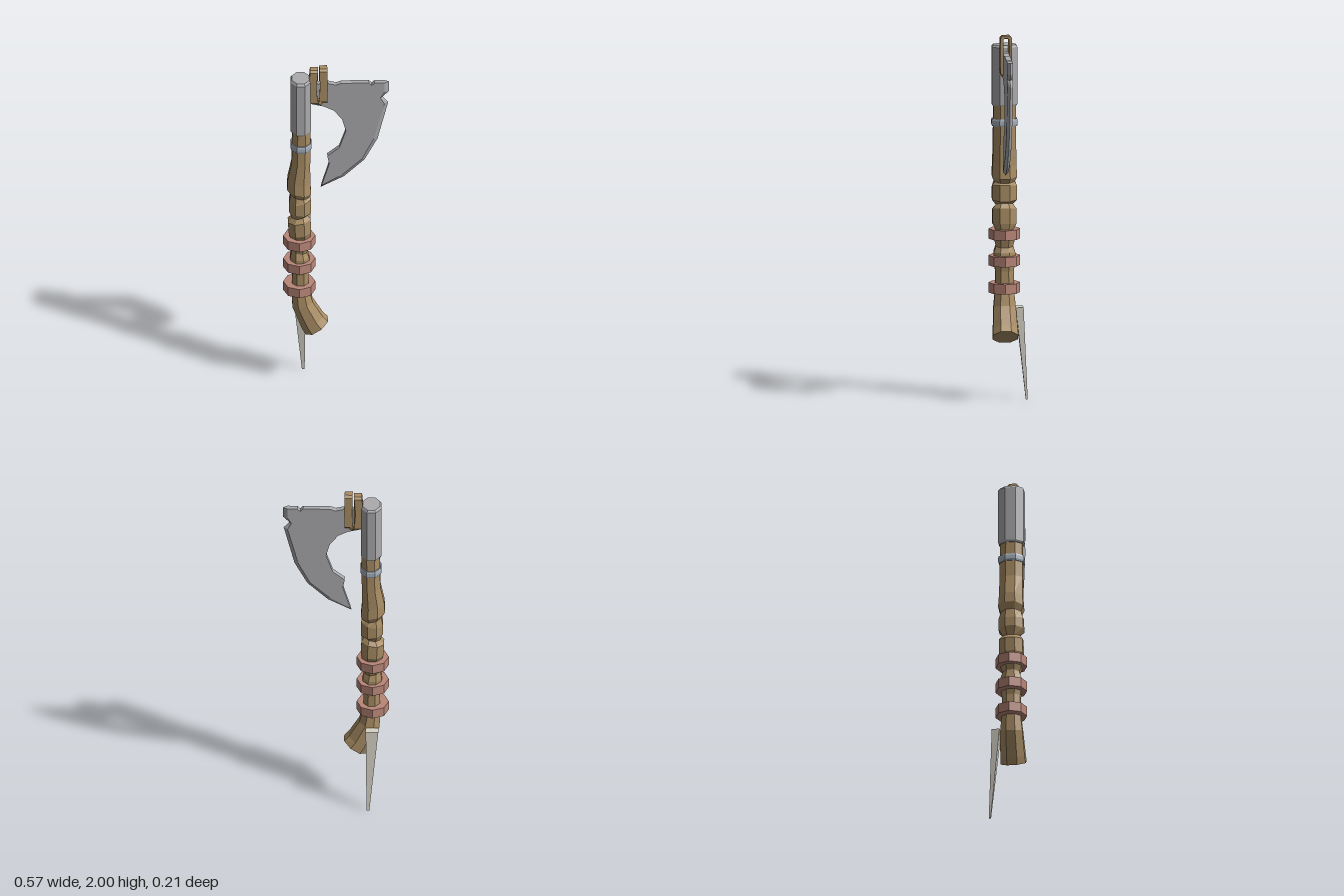
import * as THREE from 'three';

const mat = (name, color, extra = {}) =>
  Object.assign(new THREE.MeshStandardMaterial({ color, flatShading: true, ...extra }), { name });

const CZ = 0.018; // depth of the weapon's middle plane

function geometryFrom(points, index) {
  const g = new THREE.BufferGeometry();
  g.setAttribute('position', new THREE.Float32BufferAttribute(points.flat(), 3));
  g.setIndex(index);
  const flat = g.toNonIndexed();
  flat.computeVertexNormals();
  return flat;
}

// Closed solid through stacked sections, bottom to top.
// Section: [y, left x, right x, half depth, tilt of y across x, centre z]
function loft(sections, sides = 8, cornersOnAxes = false) {
  const pts = [], idx = [];
  const turn = cornersOnAxes ? 0 : Math.PI / sides;
  const grow = cornersOnAxes ? 1 : 1 / Math.cos(Math.PI / sides);
  sections.forEach(([y, l, r, hz, tilt = 0, cz = CZ]) => {
    for (let i = 0; i < sides; i++) {
      const a = turn + (i / sides) * Math.PI * 2;
      const c = Math.cos(a) * grow, s = Math.sin(a) * grow;
      pts.push([(l + r) / 2 + c * (r - l) / 2, y + tilt * c, cz + s * hz]);
    }
  });
  const last = (sections.length - 1) * sides;
  for (let k = 0; k < last; k += sides) {
    for (let i = 0; i < sides; i++) {
      const a = k + i, b = k + (i + 1) % sides;
      idx.push(a, a + sides, b, b, a + sides, b + sides);
    }
  }
  for (let i = 1; i < sides - 1; i++) {
    idx.push(0, i, i + 1, last, last + i + 1, last + i);
  }
  return geometryFrom(pts, idx);
}

// Blade plate: each point is [x, y, inset x, inset y]; inset points form the flat cheeks
function bladeGeometry(outline, half) {
  const n = outline.length, pts = [], idx = [];
  const cheek = outline.map(([x, y, ix = x, iy = y]) => new THREE.Vector2(ix, iy));
  cheek.forEach(p => pts.push([p.x, p.y, CZ + half]));
  outline.forEach(([x, y]) => pts.push([x, y, CZ]));
  cheek.forEach(p => pts.push([p.x, p.y, CZ - half]));
  for (const [a, b, c] of THREE.ShapeUtils.triangulateShape(cheek, [])) {
    idx.push(a, b, c, c + 2 * n, b + 2 * n, a + 2 * n);
  }
  for (let k = 0; k < 2 * n; k += n) {
    for (let i = 0; i < n; i++) {
      const a = k + i, b = k + (i + 1) % n;
      idx.push(a, a + n, b, b, a + n, b + n);
    }
  }
  return geometryFrom(pts, idx);
}

// Tall hollow loop in the z-y plane, extruded along x and bent by a rule
function strapGeometry(x0, width, top, bottom, bend) {
  const h = (top - bottom) / 2, mid = (top + bottom) / 2;
  const ring = (w, hh, c) => [
    [-w, -hh + c], [-w + c, -hh], [w - c, -hh], [w, -hh + c],
    [w, 0], [w, hh - c], [w - c, hh], [-w + c, hh], [-w, hh - c], [-w, 0],
  ].map(p => new THREE.Vector2(...p));
  const shape = new THREE.Shape(ring(0.03, h, 0.012));
  shape.holes.push(new THREE.Path(ring(0.016, h - 0.014, 0.006)));
  const g = new THREE.ExtrudeGeometry(shape, { depth: width, bevelEnabled: false });
  g.rotateY(Math.PI / 2);
  g.translate(x0, mid, CZ);
  const p = g.attributes.position;
  for (let i = 0; i < p.count; i++) {
    const t = Math.abs(p.getY(i) - mid) / h;
    p.setX(i, p.getX(i) + bend * t);
  }
  g.computeVertexNormals();
  return g;
}

export function createModel() {
  const wood = mat('wood', 0xa98d64);
  const steel = mat('steel', 0xababae, { side: THREE.DoubleSide });
  const band = mat('blue grey metal', 0xa6b0bd);
  const leather = mat('red leather', 0xb98678);
  const bone = mat('bone', 0xd6d3c6);

  const model = new THREE.Group();
  model.name = 'axe';
  const add = (name, geometry, material) => {
    const mesh = new THREE.Mesh(geometry, material);
    mesh.name = name;
    model.add(mesh);
  };

  // Gnarled haft with carved grooves and a slanted, flared foot
  add('haft', loft([
    [0.35, -0.165, -0.045, 0.068, 0.04],
    [0.385, -0.185, -0.072, 0.066, 0.036],
    [0.5, -0.236, -0.127, 0.06, 0.015],
    [0.6, -0.238, -0.148, 0.05],
    [0.7, -0.236, -0.15, 0.05],
    [0.76, -0.247, -0.142, 0.058],
    [0.8, -0.247, -0.146, 0.058],
    [0.835, -0.24, -0.158, 0.046, -0.008],
    [0.87, -0.25, -0.147, 0.056],
    [0.93, -0.248, -0.14, 0.05],
    [0.955, -0.255, -0.135, 0.064, 0.006],
    [1.035, -0.26, -0.138, 0.064, 0.01],
    [1.06, -0.238, -0.155, 0.046, 0.01],
    [1.09, -0.254, -0.137, 0.067, -0.008],
    [1.16, -0.254, -0.137, 0.066, 0.012],
    [1.19, -0.245, -0.15, 0.055, -0.01],
    [1.22, -0.264, -0.135, 0.068, -0.015],
    [1.28, -0.262, -0.14, 0.064, -0.01],
    [1.4, -0.24, -0.14, 0.062],
    [1.61, -0.236, -0.138, 0.06],
  ]), wood);

  // Leather grip rings
  [0.607, 0.755, 0.9].forEach((y, i) => add(`gripRing${i + 1}`,
    loft([[y - 0.027, -0.285, -0.112, 0.086], [y + 0.027, -0.285, -0.112, 0.086]], 8, true), leather));

  // Thin collar below the head
  add('collar', loft([
    [1.49, -0.242, -0.136, 0.067], [1.5, -0.245, -0.133, 0.07],
    [1.52, -0.245, -0.133, 0.07], [1.53, -0.242, -0.136, 0.067],
  ]), band);

  // Metal socket with a slightly bevelled top
  add('socket', loft([
    [1.6, -0.24, -0.14, 0.063], [1.61, -0.246, -0.137, 0.069],
    [1.92, -0.246, -0.137, 0.069], [1.932, -0.238, -0.145, 0.06],
  ]), steel);

  // Bearded blade, listed counter-clockwise from the lower root
  add('blade', bladeGeometry([
    [-0.16, 1.78], [-0.065, 1.757], [-0.012, 1.73], [0.032, 1.672], [0.052, 1.6],
    [0.016, 1.493], [-0.048, 1.44], [-0.038, 1.39],
    [-0.084, 1.235, -0.078, 1.254], [0.042, 1.302, 0.033, 1.322],
    [0.153, 1.408, 0.138, 1.42], [0.222, 1.54, 0.201, 1.545],
    [0.28, 1.773, 0.259, 1.77], [0.25, 1.808, 0.238, 1.808],
    [0.283, 1.842, 0.26, 1.845], [0.283, 1.904, 0.26, 1.904],
    [0.207, 1.904], [0.191, 1.888], [0.175, 1.904], [0.03, 1.904],
    [0.0, 1.893], [-0.05, 1.905], [-0.16, 1.895],
  ], 0.015), steel);

  // Two binding loops around the blade root, with a knot underneath
  add('innerStrap', strapGeometry(-0.149, 0.042, 1.99, 1.775, 0.009), wood);
  add('outerStrap', strapGeometry(-0.088, 0.043, 2.0, 1.785, -0.003), wood);
  add('strapKnot', loft([
    [1.762, -0.1, -0.065, 0.012], [1.785, -0.13, -0.06, 0.026], [1.81, -0.12, -0.07, 0.03],
  ], 6), wood);

  // Bone spike hanging behind the foot
  add('spike', loft([
    [0, -0.182, -0.167, 0.005, 0, -0.101],
    [0.5, -0.23, -0.162, 0.021, 0, -0.063],
  ], 4), bone);

  return model;
}
